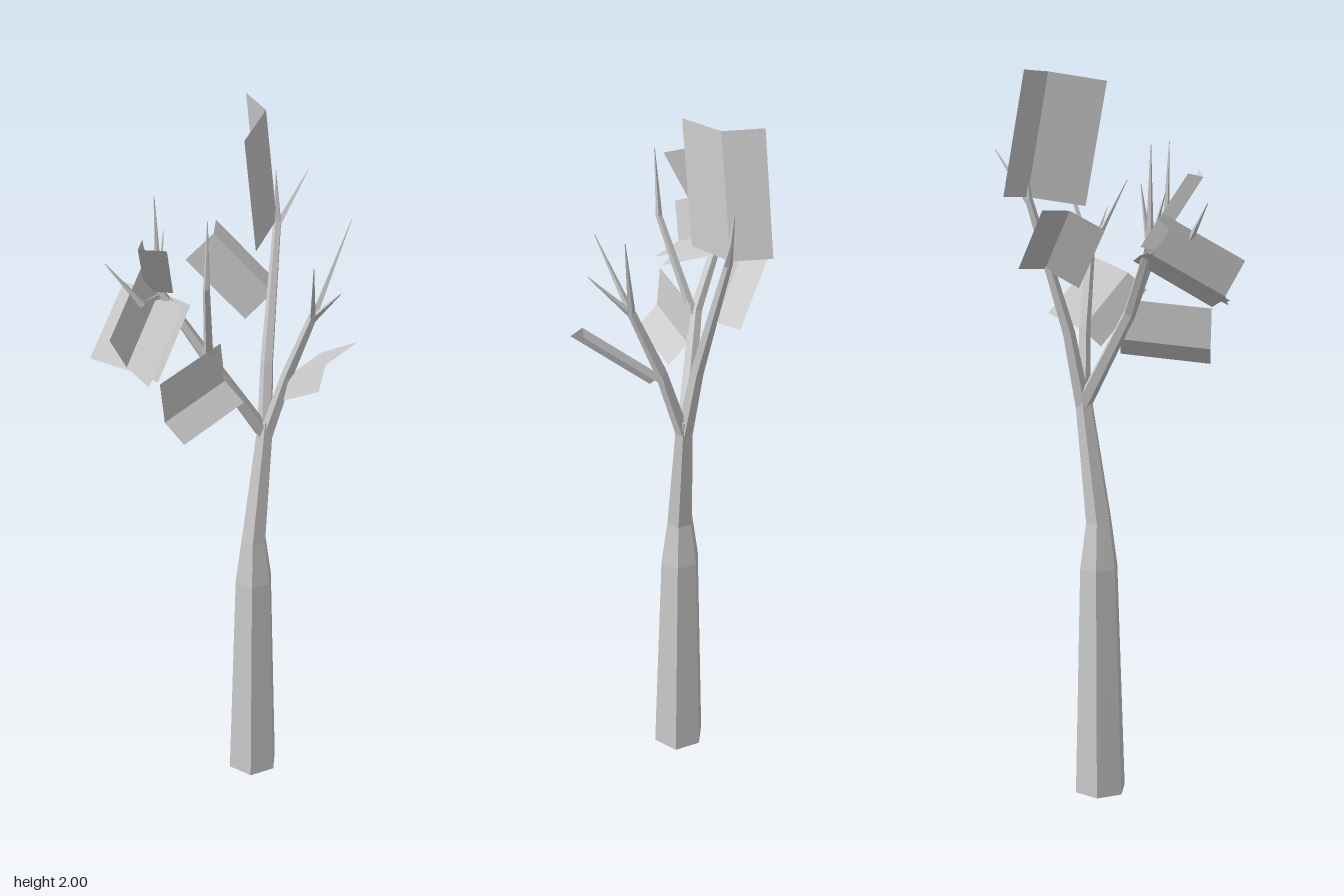
import * as THREE from 'three';

const material = new THREE.MeshStandardMaterial({ color: 0xcccccc, flatShading: true });
const leafMaterial = new THREE.MeshStandardMaterial({ color: 0xcccccc, flatShading: true, side: THREE.DoubleSide });

function makeMesh(name, positions, index, mat) {
  const geometry = new THREE.BufferGeometry();
  geometry.setAttribute('position', new THREE.Float32BufferAttribute(positions, 3));
  geometry.setIndex(index);
  geometry.computeVertexNormals();
  const mesh = new THREE.Mesh(geometry, mat);
  mesh.name = name;
  return mesh;
}

// Tapered limb lofted along stations of [x, y, z, radius], closed at both ends
function limb(name, stations, sides, turn = 0) {
  const up = new THREE.Vector3(0, 1, 0);
  const points = stations.map((s) => new THREE.Vector3(s[0], s[1], s[2]));
  const positions = [];
  const index = [];
  points.forEach((p, i) => {
    const before = points[Math.max(i - 1, 0)];
    const after = points[Math.min(i + 1, points.length - 1)];
    const direction = after.clone().sub(before).normalize();
    const tilt = new THREE.Quaternion().setFromUnitVectors(up, direction);
    if (p.y === 0) tilt.identity();
    for (let j = 0; j < sides; j++) {
      const a = turn + (j / sides) * Math.PI * 2;
      const v = new THREE.Vector3(Math.sin(a), 0, Math.cos(a)).multiplyScalar(stations[i][3]);
      positions.push(...v.applyQuaternion(tilt).add(p).toArray());
    }
  });
  for (let i = 0; i < points.length - 1; i++) {
    for (let j = 0; j < sides; j++) {
      const a = i * sides + j;
      const b = i * sides + ((j + 1) % sides);
      index.push(a, b, b + sides, a, b + sides, a + sides);
    }
  }
  const last = (points.length - 1) * sides;
  for (let j = 1; j < sides - 1; j++) {
    index.push(0, j + 1, j, last, last + j, last + j + 1);
  }
  return makeMesh(name, positions, index, material);
}

// Leaf folded along its middle: edge, fold and edge corners, swept along an axis
function leaf(name, corners, axis) {
  const positions = [];
  for (const c of corners) positions.push(...c, c[0] + axis[0], c[1] + axis[1], c[2] + axis[2]);
  return makeMesh(name, positions, [0, 2, 3, 0, 3, 1, 2, 4, 5, 2, 5, 3], leafMaterial);
}

export function createModel() {
  const tree = new THREE.Group();
  tree.name = 'tree';

  // Trunk
  tree.add(limb('trunk', [
    [0.078, 0, -0.008, 0.074],
    [0.08, 0.65, -0.01, 0.055],
    [0.08, 0.78, -0.01, 0.037],
    [0.125, 1.14, -0.01, 0.023],
  ], 6, 0.18));

  // Main branches
  const branches = {
    rightBranch: [[0.122, 1.1, -0.012, 0.022], [-0.03, 1.37, -0.08, 0.017], [-0.11, 1.56, -0.17, 0.012], [-0.115, 1.82, -0.175, 0.001]],
    rightFork: [[-0.025, 1.35, -0.075, 0.014], [-0.105, 1.62, 0, 0.009], [-0.11, 1.81, 0.01, 0.001]],
    leftBranch: [[0.125, 1.1, -0.012, 0.022], [0.155, 1.3, -0.035, 0.018], [0.245, 1.66, -0.088, 0.011], [0.25, 1.8, -0.1, 0.001]],
    frontBranch: [[0.125, 1.1, -0.005, 0.02], [0.14, 1.3, 0.055, 0.017], [0.148, 1.5, 0.135, 0.012]],
  };
  for (const [name, stations] of Object.entries(branches)) tree.add(limb(name, stations, 5));

  // Twigs: start and tip
  const twigs = [
    [[0.148, 1.49, 0.133], [0.245, 1.75, 0.17]],
    [[0.148, 1.49, 0.133], [0.133, 1.605, 0.24]],
    [[0.148, 1.49, 0.133], [0.066, 1.685, 0.207]],
    [[0.243, 1.65, -0.087], [0.343, 1.785, -0.07]],
    [[-0.11, 1.55, -0.168], [-0.155, 1.7, -0.18]],
    [[-0.11, 1.55, -0.168], [-0.088, 1.72, -0.172]],
    [[-0.2, 1.56, -0.135], [-0.27, 1.68, -0.195]],
    [[-0.11, 1.54, -0.168], [-0.2, 1.57, -0.133]],
  ];
  for (const [start, tip] of twigs) {
    tree.add(limb('twig', [[...start, 0.01], [...tip, 0.001]], 4));
  }

  // Leaves
  tree.add(leaf('topLeaf',
    [[0.05, 1.965, -0.02], [0.19, 1.99, -0.08], [0.22, 2, -0.18]], [0.056, -0.325, -0.012]));
  tree.add(leaf('backLeaf',
    [[0.003, 1.6, -0.187], [0.1, 1.645, -0.18], [0.157, 1.65, -0.228]], [0.108, -0.172, 0.112]));
  tree.add(leaf('outerRightLeaf',
    [[-0.345, 1.525, -0.103], [-0.293, 1.43, -0.1], [-0.283, 1.395, -0.03]], [0.195, 0.122, -0.079]));
  tree.add(leaf('rearRightLeaf',
    [[-0.332, 1.435, -0.195], [-0.28, 1.415, -0.1], [-0.242, 1.39, -0.04]], [0.192, 0.123, -0.075]));
  tree.add(leaf('upperRightLeaf',
    [[-0.205, 1.745, -0.037], [-0.235, 1.735, -0.11], [-0.2, 1.745, -0.13]], [0.1, -0.18, -0.085]));
  tree.add(leaf('lowerRightLeaf',
    [[-0.24, 1.385, -0.035], [-0.235, 1.275, -0.025], [-0.22, 1.225, 0.03]], [0.242, 0.018, -0.023]));
  tree.add(leaf('frontLeaf',
    [[0.25, 1.33, 0.073], [0.147, 1.295, 0.055], [0.1, 1.245, 0.077]], [-0.072, 0.13, 0.19]));

  return tree;
}
